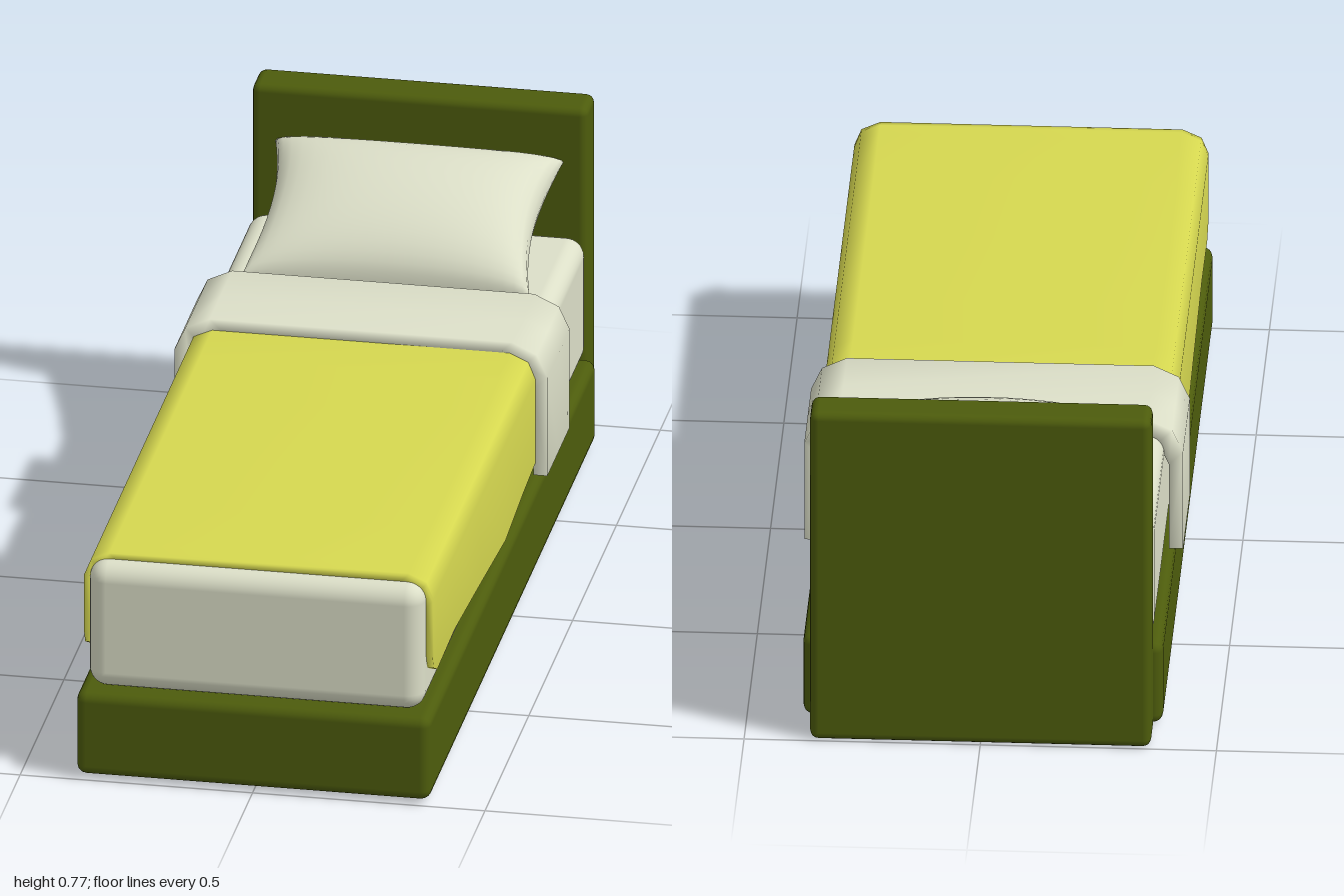
import * as THREE from 'three';
import { mergeVertices } from 'three/addons/utils/BufferGeometryUtils.js';
import { RoundedBoxGeometry } from 'three/addons/geometries/RoundedBoxGeometry.js';

const material = (name, color) => {
  const m = new THREE.MeshStandardMaterial({ color });
  m.name = name;
  return m;
};

// Rounded box from its minimum and maximum corners
function block(name, mat, min, max, radius, segments) {
  const size = max.map((v, i) => v - min[i]);
  const mesh = new THREE.Mesh(new RoundedBoxGeometry(...size, segments, radius), mat);
  mesh.position.set(...max.map((v, i) => (v + min[i]) / 2));
  mesh.name = name;
  return mesh;
}

// Closed surface from rings of points, with flat fans closing both ends
function smoothMesh(name, mat, positions, index) {
  let g = new THREE.BufferGeometry();
  g.setAttribute('position', new THREE.Float32BufferAttribute(positions, 3));
  g.setIndex(index);
  g = mergeVertices(g, 1e-4);
  g.computeVertexNormals();
  const mesh = new THREE.Mesh(g, mat);
  mesh.name = name;
  return mesh;
}

// Thick cloth draped over the mattress; half = [x, y] from the side to the top,
// stations = [z, hem height] from foot to head
function drape(name, mat, half, thickness, stations) {
  const side = (inset, hem) => {
    const right = half.map(([x, y], i) =>
      i === 0 ? [x - inset, hem] : [x - inset, y - inset]);
    return [...right, ...right.map(([x, y]) => [-x, y]).reverse()];
  };
  const positions = [], index = [];
  const h = half.length * 2, n = h * 2;
  for (const [z, hem] of stations) {
    const ring = [...side(0, hem), ...side(thickness, hem).reverse()];
    for (const [x, y] of ring) positions.push(x, y, z);
  }
  const rows = stations.length;
  for (let r = 0; r < rows - 1; r++) {
    for (let i = 0; i < n; i++) {
      const j = (i + 1) % n, a = r * n, b = a + n;
      index.push(a + i, b + i, a + j, a + j, b + i, b + j);
    }
  }
  // Rim strips between the outer and inner skins at both ends
  const last = (rows - 1) * n;
  for (let i = 0; i < h - 1; i++) {
    const o = i, p = i + 1, q = n - 2 - i, s = n - 1 - i;
    index.push(o, p, q, o, q, s);
    index.push(last + o, last + q, last + p, last + o, last + s, last + q);
  }
  return smoothMesh(name, mat, positions, index);
}

// Puffed cushion with pulled-out corners, leaning on the headboard
function pillow(mat) {
  const positions = [], index = [], n = 20;
  for (const dir of [1, -1]) {
    const base = positions.length / 3;
    for (let i = 0; i <= n; i++) {
      for (let j = 0; j <= n; j++) {
        const u = Math.sin((i / n - 0.5) * Math.PI);
        const v = Math.sin((j / n - 0.5) * Math.PI);
        const puff = Math.pow(Math.max(0, (1 - u * u) * (1 - v * v)), 0.38);
        const x = u * (0.282 + 0.028 * v * v);
        const z = -0.712 + v * (0.182 + 0.012 * u * u);
        const plane = 0.563 - 0.06 * v + 0.012 * u * u * (1 - v);
        positions.push(x, plane + dir * puff * (dir > 0 ? 0.11 : 0.075), z);
      }
    }
    for (let i = 0; i < n; i++) {
      for (let j = 0; j < n; j++) {
        const a = base + i * (n + 1) + j, b = a + 1, c = a + n + 1, d = c + 1;
        if (dir > 0) index.push(a, b, c, b, d, c);
        else index.push(a, c, b, b, c, d);
      }
    }
  }
  return smoothMesh('pillow', mat, positions, index);
}

export function createModel() {
  const green = material('olive green', 0x4d5c0c);
  const yellow = material('blanket yellow', 0xd6d850);
  const cream = material('linen cream', 0xdcdfc8);

  const bed = new THREE.Group();
  bed.name = 'bed';

  // Wooden base and headboard
  bed.add(block('bedBase', green, [-0.381, 0.009, -0.905], [0.381, 0.2, 1], 0.022, 2));
  bed.add(block('headboard', green, [-0.361, 0, -1], [0.361, 0.772, -0.905], 0.018, 2));

  // Bedding
  bed.add(block('mattress', cream, [-0.361, 0.2, -0.903], [0.361, 0.487, 0.976], 0.04, 4));
  bed.add(drape('blanket', yellow,
    [[0.375, 0.25], [0.375, 0.445], [0.36, 0.482], [0.32, 0.5]], 0.014,
    [[0.935, 0.32], [0.92, 0.285], [0.88, 0.265], [0.68, 0.27], [0.4, 0.247],
      [0.1, 0.22], [-0.1, 0.24], [-0.25, 0.25]]));
  bed.add(drape('foldedSheet', cream,
    [[0.401, 0.22], [0.401, 0.45], [0.378, 0.5], [0.325, 0.525]], 0.03,
    [[-0.237, 0.222], [-0.363, 0.222], [-0.492, 0.222]]));
  bed.add(pillow(cream));
  return bed;
}
